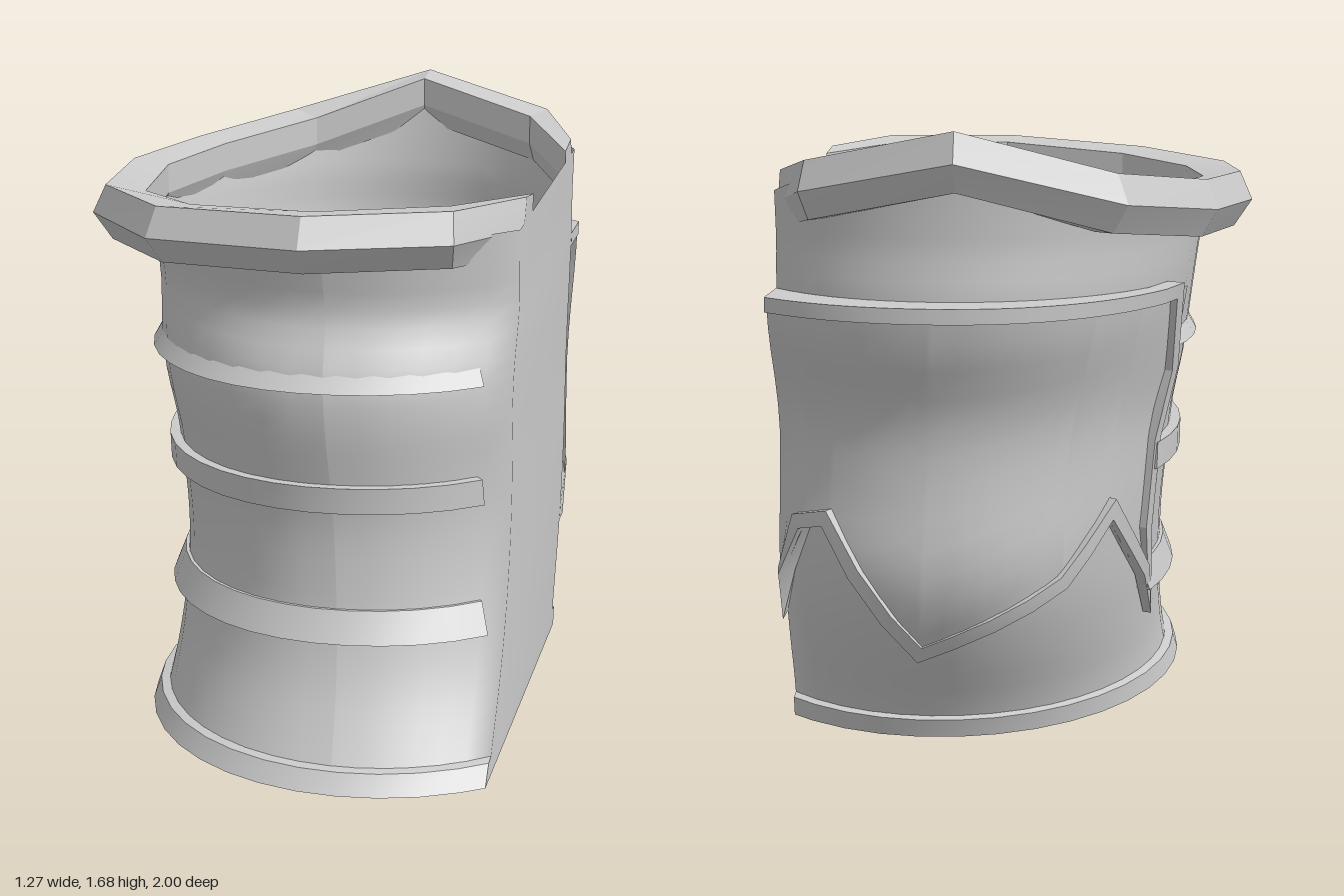
import * as THREE from 'three';
import { toCreasedNormals } from 'three/addons/utils/BufferGeometryUtils.js';

const CUT = 0.635;            // plane where the shell is cut flat
const RAD = Math.PI / 180;
const { lerp, clamp, smoothstep } = THREE.MathUtils;

// Shell profile: height, then left x, front z and back z
const PROFILE = [
  [0, -0.41, 0.97, -0.59], [0.1, -0.395, 0.91, -0.635], [0.25, -0.385, 0.83, -0.72],
  [0.4, -0.385, 0.78, -0.79], [0.55, -0.39, 0.755, -0.83], [0.7, -0.405, 0.745, -0.84],
  [0.85, -0.42, 0.76, -0.84], [1.0, -0.45, 0.775, -0.845], [1.12, -0.465, 0.765, -0.865],
  [1.28, -0.485, 0.69, -0.87], [1.38, -0.5, 0.7, -0.86], [1.5, -0.52, 0.72, -0.88],
];
const profile = new THREE.CubicInterpolant(
  PROFILE.map(r => r[0]), PROFILE.flatMap(r => r.slice(1)), 3);

// Oval cross-section of the shell, with the angle where the flat cut begins
function oval(v, off) {
  const [left, front, back] = profile.evaluate(clamp(v, 0, 1.5));
  const cx = lerp(0.24, 0.15, v / 1.5), rx = cx - left + off;
  return { cx, rx, cz: (front + back) / 2, rz: (front - back) / 2 + off,
    end: Math.acos((CUT - cx) / rx) / RAD };
}

// Point on the shell at an angle (90 front, 180 left, 270 back), height and stand-off
function shell(angle, v, off = 0) {
  const { cx, rx, cz, rz, end } = oval(v, off);
  const a = clamp(angle, end, 360 - end) * RAD;
  const z = cz + rz * Math.sin(a);
  const lift = 0.4 * Math.max(0, -z - 0.6) * smoothstep(v, 1.38, 1.5);
  const y = v + (0.035 + 0.045 * z) * (1 - v / 1.5) + lift;
  return [cx + rx * Math.cos(a), y, z];
}

// Skin through rows of points; ring closes each row and caps both ends
function loft(rows, ring = false) {
  const n = rows[0].length, index = [];
  for (let i = 0; i < rows.length - 1; i++) {
    for (let j = 0; j < (ring ? n : n - 1); j++) {
      const a = i * n + j, b = i * n + (j + 1) % n;
      index.push(a, b, a + n, b, b + n, a + n);
    }
  }
  if (ring) {
    const last = (rows.length - 1) * n;
    for (let j = 1; j < n - 1; j++) {
      index.push(0, j + 1, j, last, last + j, last + j + 1);
    }
  }
  const geo = new THREE.BufferGeometry();
  geo.setAttribute('position', new THREE.Float32BufferAttribute(rows.flat(2), 3));
  geo.setIndex(index);
  geo.computeVertexNormals();
  return geo;
}

const steps = (a, b, n) => Array.from({ length: n + 1 }, (_, i) => lerp(a, b, i / n));

export function createModel() {
  const group = new THREE.Group();
  const grey = new THREE.MeshStandardMaterial({ color: 0xcccccc, side: THREE.DoubleSide });
  const add = (name, geo) => {
    const mesh = new THREE.Mesh(geo, grey);
    mesh.name = name;
    group.add(mesh);
  };

  // Curved shell and its flat side as one smooth loop, seam at the front
  add('shell', loft(steps(0, 1.5, 30).map(v => {
    const { end } = oval(v, 0);
    return [...steps(90, 360 - end, 28), ...steps(end, 90, 6)].map(a => shell(a, v));
  })));

  // Hem lip around the bottom
  add('hem', toCreasedNormals(loft(steps(42, 318, 30).map(a => [
    shell(a, 0, 0), shell(a, 0, 0.03), shell(a, 0.055, 0.025), shell(a, 0.06, 0),
  ]), true), 0.5));

  // Raised bands: bottom, top, bottom stand-off, top stand-off
  const bands = [[0.38, 0.465, 0.04, 0.01], [0.75, 0.825, 0.035, 0.03], [1.095, 1.16, 0.028, -0.015]];
  bands.forEach(([low, high, offLow, offHigh], i) => {
    const rows = steps(53, 205, 18).map(a => {
      const drop = -0.035 * smoothstep(a, 75, 185);
      return [shell(a, low + drop, 0), shell(a, low + drop, offLow),
        shell(a, high + drop, offHigh), shell(a, high + drop, Math.min(0, offHigh))];
    });
    add('band' + (i + 1), toCreasedNormals(loft(rows, true), 0.5));
  });

  // Back panel: lower zigzag edge as angle and height
  const TOP = 1.235;
  const zigzag = [[330, 0.33], [316, 0.33], [304, 0.62], [297, 0.64], [272, 0.26],
    [236, 0.46], [222, 0.62], [207, 0.4], [202, 0.25]];
  // The panel flares at the top and lies close to the shell at its left edge
  const standOff = (a, v) => lerp(0.3, 1, smoothstep(a, 205, 262)) * (0.018
    + 0.085 * smoothstep(v, 0.85, 1.25)
    + 0.025 * smoothstep(v, 0.25, 0.42) * (1 - smoothstep(v, 0.5, 0.75)));
  const lowEdge = a => {
    const i = Math.max(1, zigzag.findIndex(p => p[0] <= a));
    const [a0, v0] = zigzag[i - 1], [a1, v1] = zigzag[i];
    return lerp(v0, v1, (a - a0) / (a1 - a0));
  };
  const columns = [...new Set([...steps(202, 330, 26), ...zigzag.map(p => p[0])])]
    .sort((p, q) => p - q);
  add('backPanel', loft(columns.map(a =>
    steps(lowEdge(a), TOP, 12).map(v => shell(a, v, standOff(a, v))))));

  // Raised frame that follows the whole panel outline
  const path = [...zigzag, [204, 0.55], [203, 0.8], [202, 1.0], [208, TOP + 0.02],
    ...steps(216, 330, 12).map(a => [a, TOP + 0.015])];
  const pts = [];
  path.forEach(([a, v], i) => {          // subdivide so the frame hugs the curve
    if (i) {
      const [pa, pv] = path[i - 1];
      const n = Math.max(1, Math.ceil(Math.abs(a - pa) / 9));
      for (let k = 1; k < n; k++) pts.push([lerp(pa, a, k / n), lerp(pv, v, k / n)]);
    }
    pts.push([a, v]);
  });
  const PER_DEG = 0.0125;                // arc length of one degree
  const dir = (p, q) => new THREE.Vector2((q[0] - p[0]) * PER_DEG, q[1] - p[1]).normalize();
  const frame = pts.map(([a, v], i) => {
    const d0 = dir(pts[Math.max(0, i - 1)], pts[Math.max(1, i)]);
    const d1 = dir(pts[Math.min(i, pts.length - 2)], pts[Math.min(i + 1, pts.length - 1)]);
    const mid = d0.clone().add(d1).normalize();
    const w = 0.04 / Math.max(0.6, mid.dot(d0));
    const ia = a + mid.y * w / PER_DEG, iv = v - mid.x * w;
    const out = standOff(a, v) + 0.022;
    return [shell(a, v, 0.002), shell(a, v, out), shell(ia, iv, out), shell(ia, iv, 0.002)];
  });
  add('panelFrame', toCreasedNormals(loft(frame, true), 0.5));

  // Chunky top rim: outer x, z, inner x, z, top height
  const rim = [
    [CUT, 0.40, CUT, 0.24, 1.565], [0.5, 0.70, 0.46, 0.52, 1.58], [0.12, 0.825, 0.12, 0.65, 1.575],
    [-0.33, 0.67, -0.25, 0.52, 1.55], [-0.6, 0.30, -0.45, 0.28, 1.53],
    [-0.64, -0.10, -0.5, -0.10, 1.53], [-0.54, -0.48, -0.42, -0.44, 1.535],
    [-0.31, -0.82, -0.2, -0.73, 1.575], [0.12, -1.0, 0.12, -0.87, 1.69],
    [0.54, -0.82, 0.48, -0.74, 1.605], [CUT, -0.58, CUT, -0.42, 1.56],
  ];
  const section = [[0, -0.08], [0.25, 0], [1, -0.015], [1, -0.1], [0.8, -0.155], [0.36, -0.155]];
  add('topRim', toCreasedNormals(loft(rim.map(([ox, oz, ix, iz, y]) =>
    section.map(([t, dy]) => [lerp(ox, ix, t), y + dy, lerp(oz, iz, t)])), true), 0.2));

  return group;
}
